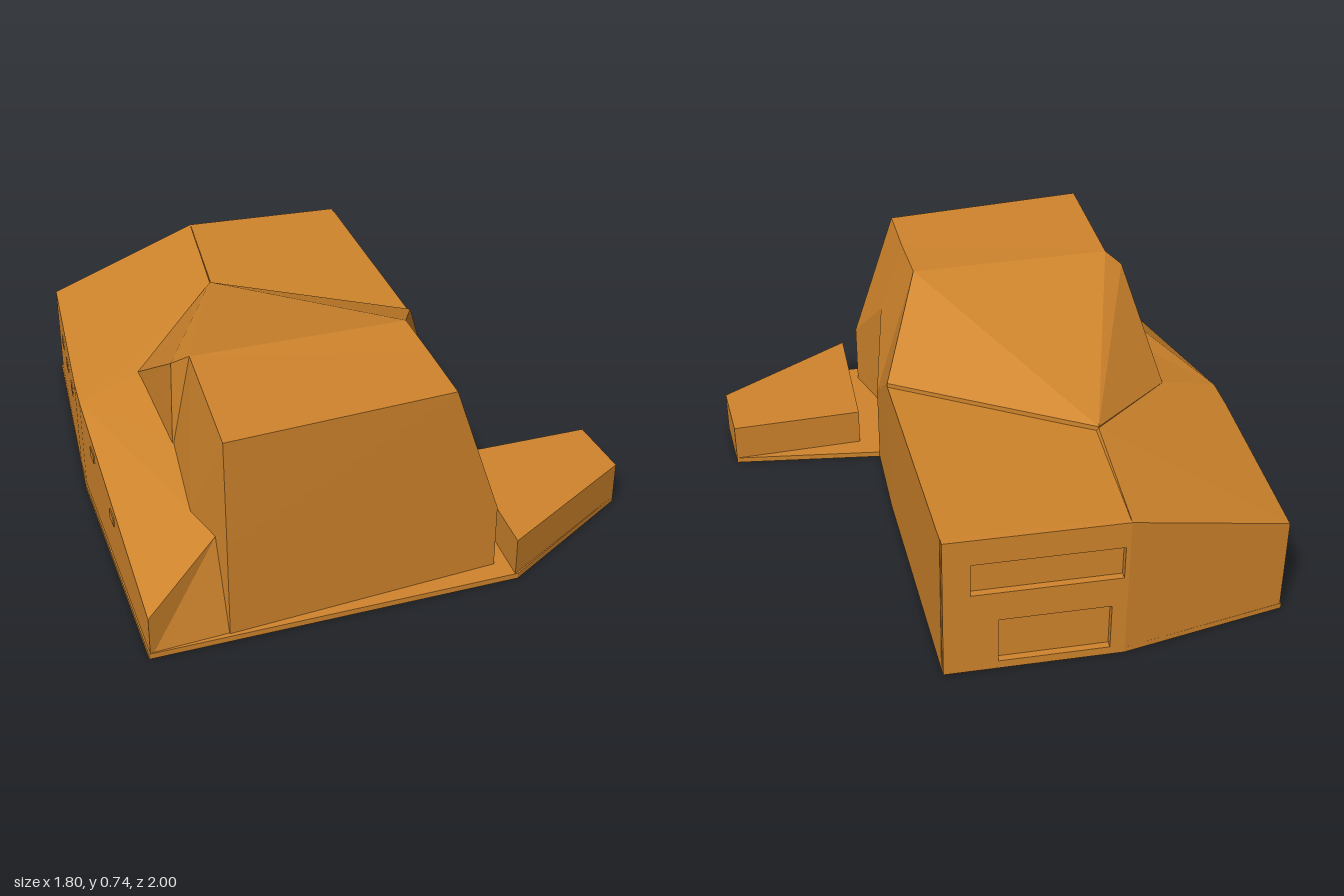
import * as THREE from 'three';

const ochre = new THREE.MeshStandardMaterial({ color: 0xd0852c });
ochre.name = 'ochre';
ochre.flatShading = true;

function mesh(name, geometry) {
  const m = new THREE.Mesh(geometry, ochre);
  m.name = name;
  return m;
}

// Triangulate a ring that runs counter-clockwise seen from above
function capTriangles(ring) {
  const flat = ring.map(([x, , z]) => new THREE.Vector2(x, -z));
  return THREE.ShapeUtils.triangulateShape(flat, []);
}

// Solid from stacked rings (bottom first); the top may list its own roof facets
function loft(name, rings, roof) {
  const out = [];
  const tri = (a, b, c) => out.push(...a, ...b, ...c);
  for (let r = 0; r < rings.length - 1; r++) {
    const lo = rings[r], hi = rings[r + 1], n = lo.length;
    for (let i = 0; i < n; i++) {
      const j = (i + 1) % n;
      tri(lo[i], lo[j], hi[j]);
      tri(lo[i], hi[j], hi[i]);
    }
  }
  const base = rings[0], top = rings[rings.length - 1];
  for (const [a, b, c] of capTriangles(base)) tri(base[a], base[c], base[b]);
  for (const [a, b, c] of roof || capTriangles(top)) tri(top[a], top[b], top[c]);
  const g = new THREE.BufferGeometry();
  g.setAttribute('position', new THREE.Float32BufferAttribute(out, 3));
  g.computeVertexNormals();
  return mesh(name, g);
}

const drop = (ring, y = 0) => ring.map(([x, , z]) => [x, y, z]);
const prism = (name, top, roof) => loft(name, [drop(top), top], roof);

function rectangle(path, x0, y0, x1, y1) {
  path.moveTo(x0, y0);
  path.lineTo(x1, y0);
  path.lineTo(x1, y1);
  path.lineTo(x0, y1);
  path.closePath();
  return path;
}

export function createModel() {
  const model = new THREE.Group();
  model.name = 'building';

  // Thin ground slab under everything
  model.add(prism('groundSlab', [
    [-0.845, 0.02, 1], [0.41, 0.02, 0.92], [0.9, 0.02, 0.59], [0.88, 0.02, 0.34],
    [0.335, 0.02, 0.28], [0.335, 0.02, -0.05], [0.3, 0.02, -1], [-0.3, 0.02, -1],
    [-0.88, 0.02, -0.88], [-0.905, 0.02, 0],
  ]));

  // Tall hall with folded side walls and a roof falling to the rear
  const hallBase = [
    [-0.58, 0, 0.97], [0.35, 0, 0.85], [0.27, 0, 0.61], [0.335, 0, 0.28], [0.335, 0, -0.05],
    [-0.33, 0, -0.46], [-0.68, 0, -0.05], [-0.64, 0, 0.39], [-0.65, 0, 0.75],
  ];
  const midHeights = [0.36, 0.25, 0.47, 0.3, 0.3, 0.36, 0.36, 0.36, 0.36];
  const hallMid = hallBase.map(([x, , z], i) => [x, midHeights[i], z]);
  const hallTop = [
    [-0.58, 0.73, 0.965], [0.185, 0.73, 0.87], [0.18, 0.73, 0.62], [0.17, 0.735, 0.39],
    [0.335, 0.53, -0.05], [-0.33, 0.53, -0.46], [-0.68, 0.42, -0.05],
    [-0.63, 0.69, 0.39], [-0.575, 0.73, 0.43],
  ];
  model.add(loft('hall', [hallBase, hallMid, hallTop], [
    [0, 1, 2], [0, 2, 8], [2, 3, 8], [3, 5, 8], [3, 4, 5], [8, 5, 7], [7, 5, 6],
  ]));

  // Low side wing with a pitched roof and a sloped front corner
  const wingTop = [
    [-0.84, 0.155, 1], [-0.6, 0.355, 0.9], [-0.62, 0.39, 0.39], [-0.66, 0.425, -0.05],
    [-0.33, 0.525, -0.46], [-0.3, 0.525, -1], [-0.875, 0.355, -0.88],
    [-0.9, 0.355, -0.14], [-0.9, 0.355, 0],
  ];
  const wingBase = drop(wingTop);
  wingBase[1] = [-0.58, 0, 0.97];
  model.add(loft('sideWing', [wingBase, wingTop], [
    [0, 1, 8], [1, 2, 8], [2, 3, 8], [3, 4, 8], [4, 7, 8], [4, 6, 7], [4, 5, 6],
  ]));

  // Flat-roofed rear block
  model.add(prism('rearBlock', [
    [-0.33, 0.51, -0.3], [0.335, 0.515, -0.05], [0.302, 0.525, -0.975],
    [-0.3, 0.525, -0.975], [-0.33, 0.525, -0.46],
  ]));

  // Rear wall with a recessed window band and doorway
  const wall = rectangle(new THREE.Shape(), -0.3, 0, 0.3, 0.525);
  wall.holes.push(rectangle(new THREE.Path(), -0.285, 0.31, 0.21, 0.43));
  wall.holes.push(rectangle(new THREE.Path(), -0.25, 0.03, 0.12, 0.2));
  const rearWall = mesh('rearWall', new THREE.ExtrudeGeometry(wall, { depth: 0.025, bevelEnabled: false }));
  rearWall.position.z = -1;
  model.add(rearWall);

  // Small annex
  model.add(prism('annex', [
    [0.4, 0.155, 0.92], [0.9, 0.155, 0.59], [0.88, 0.155, 0.34], [0.4, 0.155, 0.37],
  ]));

  // Little window plates along the side wing
  for (const z of [-0.63, -0.45, -0.27, 0.2, 0.5]) {
    const plate = mesh('sideWindow', new THREE.BoxGeometry(0.008, 0.035, 0.06));
    const x = z < -0.14 ? -0.9 - (z + 0.14) * 0.034 : -0.9 + z * 0.06;
    plate.position.set(x, z > 0.3 ? 0.2 : 0.26, z);
    plate.rotation.y = z < -0.14 ? -0.034 : 0.06;
    model.add(plate);
  }

  return model;
}
